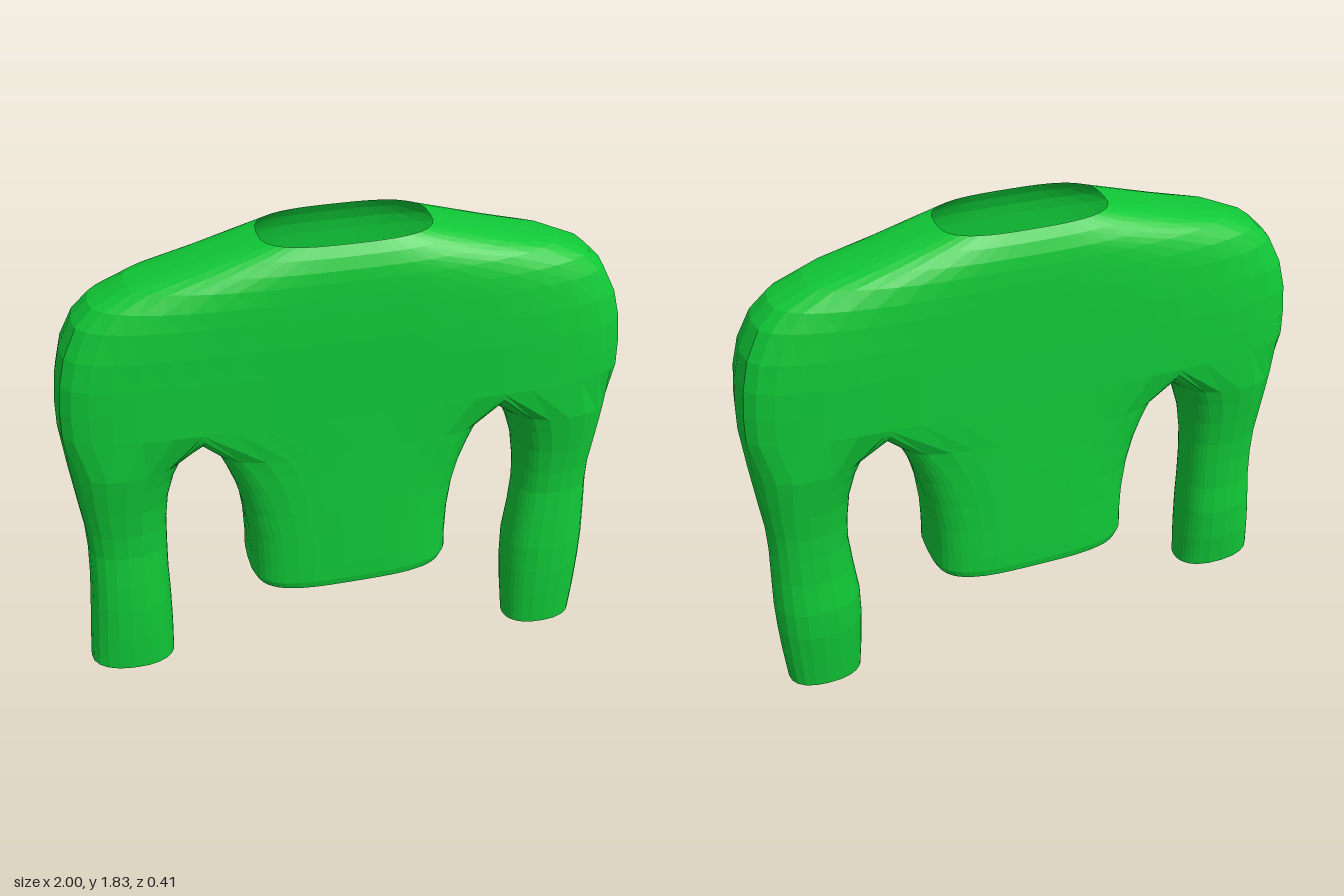
import * as THREE from 'three';

const Q = 14; // segments of a side arc
const K = 10; // segments across the front or back
const ARMPIT = { x: 0.53, top: 1.2, drop: 0.11 };

// Skin a list of equal-length closed rings, ordered top to bottom.
function loft(name, rings, material) {
  const n = rings[0].length;
  const positions = rings.flat(2);
  const index = [];
  for (let r = 0; r < rings.length - 1; r++) {
    for (let i = 0; i < n; i++) {
      const a0 = r * n + i, a1 = r * n + (i + 1) % n;
      const b0 = a0 + n, b1 = a1 + n;
      index.push(a0, b0, b1, a0, b1, a1);
    }
  }
  const geometry = new THREE.BufferGeometry();
  geometry.setAttribute('position', new THREE.Float32BufferAttribute(positions, 3));
  geometry.setIndex(index);
  geometry.computeVertexNormals();
  const mesh = new THREE.Mesh(geometry, material);
  mesh.name = name;
  return mesh;
}

// Rounded side of a body section, from its front split point round to the back.
function sideArc([y, w, d, n, f]) {
  const points = [];
  for (let i = 0; i <= Q; i++) {
    const phi = Math.PI * (0.5 - i / Q);
    const u = i === 0 || i === Q ? f : Math.min(1, f + (1 - f) * Math.cos(phi));
    const z = i === Q / 2 ? 0 : d * Math.pow(Math.max(0, 1 - u ** n), 1 / n);
    points.push([w * u, y, Math.sign(Q / 2 - i) * z]);
  }
  return points;
}

// Complete body ring: left side, back, right side, front.
function bodyRing(section, side = sideArc(section)) {
  const [y, w, d, n, f] = section;
  const panel = (dir) => {
    const points = [];
    for (let k = 1; k < K; k++) {
      const s = f * (1 - 2 * k / K);
      const z = d * Math.pow(1 - Math.abs(s) ** n, 1 / n);
      points.push([-dir * s * w, y, dir * z]);
    }
    return points;
  };
  const mirrored = side.map(([x, py, z]) => [-x, py, z]).reverse();
  return [...side, ...panel(-1), ...mirrored, ...panel(1)];
}

// Curve under the arm, front to back, shared by torso and sleeve.
function armpitCurve(depth) {
  const points = [];
  for (let i = 0; i <= Q; i++) {
    const phi = Math.PI * (0.5 - i / Q);
    points.push([ARMPIT.x, ARMPIT.top - ARMPIT.drop * Math.cos(phi), depth * Math.sin(phi)]);
  }
  return points;
}

// Sleeve ring from [y, inner x, outer x, half depth, z centre, tilt].
function sleeveRing([y, inner, outer, hz, cz = 0, tilt = 0]) {
  const split = 2.15;
  const soft = (v) => Math.sign(v) * Math.abs(v) ** 0.88;
  const points = [];
  for (let i = 0; i < 2 * Q; i++) {
    const a = i <= Q
      ? split * (1 - 2 * i / Q)
      : -split - (2 * Math.PI - 2 * split) * (i - Q) / Q;
    const c = soft(Math.cos(a));
    points.push([(inner + outer) / 2 + c * (outer - inner) / 2, y + c * tilt, cz + hz * soft(Math.sin(a))]);
  }
  return points;
}

export function createModel() {
  const group = new THREE.Group();
  group.name = 'sweater';
  const knit = new THREE.MeshStandardMaterial({ color: 0x10c837, flatShading: true, side: THREE.DoubleSide });

  // Shoulders: [y, half width, half depth, roundness, split ratio]
  const f = ARMPIT.x;
  const shoulders = [
    [1.83, 0.29, 0.148, 3, f], [1.795, 0.42, 0.168, 2.7, f], [1.755, 0.57, 0.182, 2.6, f],
    [1.715, 0.73, 0.187, 2.7, f], [1.66, 0.85, 0.19, 3, f], [1.6, 0.91, 0.192, 3.3, f],
    [1.5, 0.96, 0.194, 3.7, f], [1.4, 0.985, 0.195, 4, f], [1.3, 0.997, 0.195, 4, f],
    [ARMPIT.top, 1, 0.195, 4, f],
  ];
  group.add(loft('shoulders', shoulders.map((s) => bodyRing(s)), knit));

  // Torso, ending in a hem that folds inwards
  const base = shoulders[shoulders.length - 1];
  const baseArc = sideArc(base);
  const armpit = armpitCurve(baseArc[0][2]);
  const torso = [
    [1.05, 0.475, 0.197, 4, 0.84], [0.98, 0.445, 0.198, 3.8, 0.8], [0.9, 0.417, 0.2, 3.6, 0.76],
    [0.8, 0.393, 0.202, 3.5, 0.74], [0.68, 0.378, 0.204, 3.5, 0.72], [0.56, 0.374, 0.206, 3.5, 0.72],
    [0.49, 0.376, 0.206, 3.5, 0.72], [0.46, 0.362, 0.2, 3.5, 0.72], [0.45, 0.34, 0.185, 3.4, 0.72],
    [0.455, 0.315, 0.16, 3.3, 0.72], [0.5, 0.325, 0.168, 3.3, 0.72],
  ];
  group.add(loft('torso', [bodyRing(base, armpit), ...torso.map((s) => bodyRing(s))], knit));

  // Sleeves: same upper arm, forearms of different length
  const upperArm = [
    [1.04, 0.585, 0.987, 0.168], [0.97, 0.62, 0.98, 0.155], [0.87, 0.65, 0.97, 0.137],
    [0.76, 0.665, 0.958, 0.121], [0.66, 0.67, 0.956, 0.114],
  ];
  const leftForearm = [
    [0.54, 0.66, 0.96, 0.116, 0.005], [0.4, 0.645, 0.965, 0.124, 0.005], [0.28, 0.645, 0.963, 0.121, 0.008],
    [0.15, 0.652, 0.957, 0.109, 0.014], [0, 0.665, 0.946, 0.094, 0.02],
  ];
  const rightForearm = [
    [0.54, 0.675, 0.962, 0.116, 0.005, 0.003], [0.42, 0.675, 0.972, 0.122, 0.005, 0.005],
    [0.28, 0.678, 0.987, 0.118, 0.008, 0.006], [0.132, 0.685, 1, 0.105, 0.014, 0.008],
  ];
  const armhole = [...baseArc, ...armpit.slice(1, Q).reverse()];
  const sleeve = (forearm) => [armhole, ...[...upperArm, ...forearm].map(sleeveRing)];
  const mirror = (ring) => ring.map(([x, y, z]) => [-x, y, z]).reverse();
  group.add(loft('leftSleeve', sleeve(leftForearm), knit));
  group.add(loft('rightSleeve', sleeve(rightForearm).map(mirror), knit));

  return group;
}
